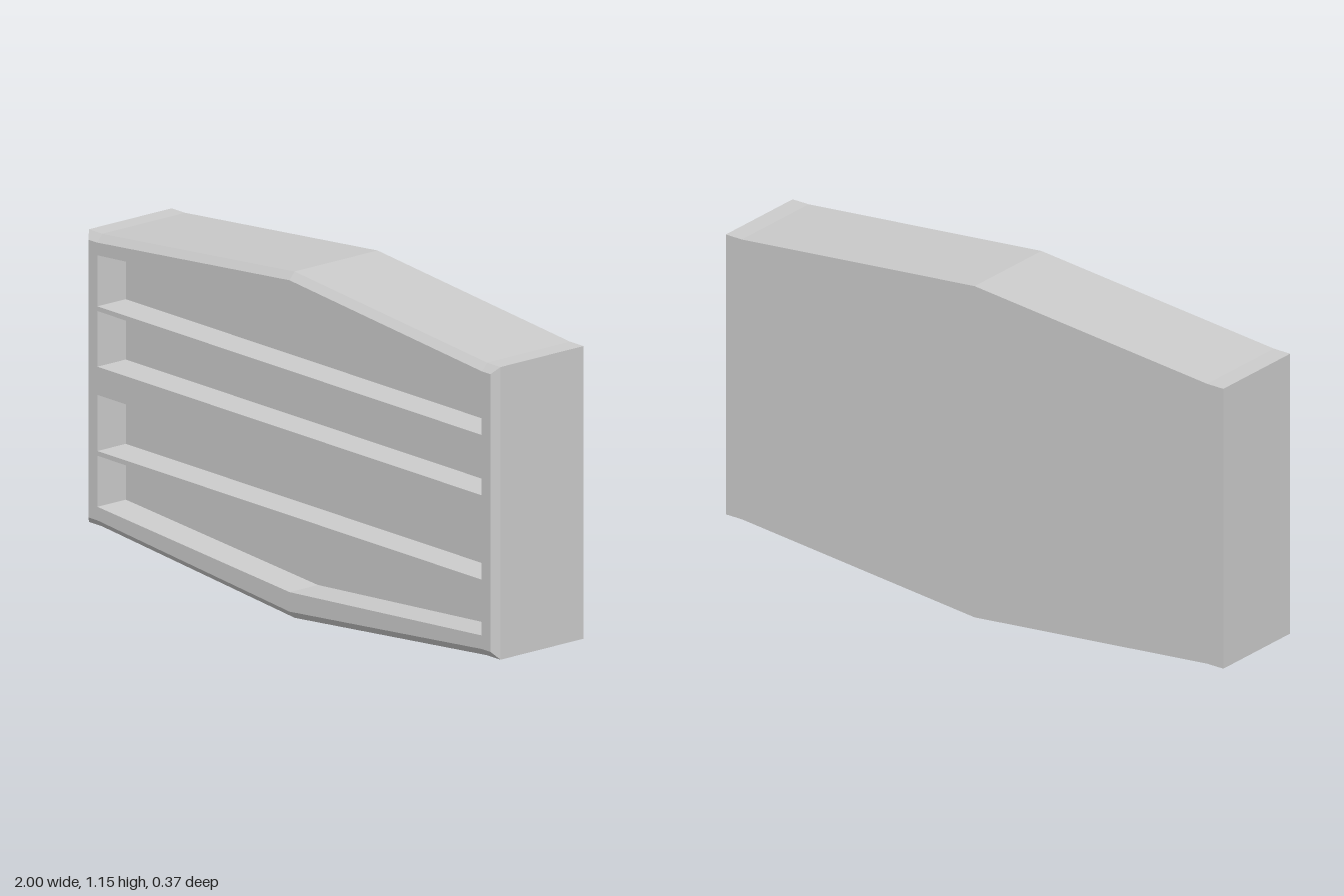
import * as THREE from 'three';

const BACK = -0.186, SHOULDER = 0.164, FRONT = 0.186, FLOOR = 0.066;
const MID = 0.577; // height of the horizontal mirror line

// Counter-clockwise outlines seen from the front
const outline = [
  [1, 0.09], [1, 1.065], [0.935, 1.065], [0, 1.154],
  [-0.935, 1.065], [-1, 1.065], [-1, 0.09], [-0.935, 0.09], [0, 0], [0.935, 0.09],
];
const inset = outline.map(([x, y]) => [
  Math.abs(x) === 1 ? x * 0.976 : x,
  y + (y > MID ? -0.025 : 0.025),
]);

// Four slots, the outer two following the peaked edges
const W = 0.933;
const box = (y0, y1) => [[W, y0], [W, y1], [-W, y1], [-W, y0]];
const slots = {
  topSlot: [[W, 0.828], [W, 0.998], [0, 1.07], [-W, 0.998], [-W, 0.828]],
  upperSlot: box(0.627, 0.812),
  lowerSlot: box(0.346, 0.533),
  bottomSlot: [[W, 0.16], [W, 0.33], [-W, 0.33], [-W, 0.16], [0, 0.09]],
};

const toVectors = (points) => points.map(([x, y]) => new THREE.Vector2(x, y));

// Flat-shaded band joining two loops at two depths
function band(a, za, b, zb) {
  const pos = [];
  a.forEach((p, i) => {
    const j = (i + 1) % a.length;
    const q = a[j], r = b[j], s = b[i];
    pos.push(...p, za, ...q, za, ...r, zb, ...p, za, ...r, zb, ...s, zb);
  });
  const g = new THREE.BufferGeometry();
  g.setAttribute('position', new THREE.Float32BufferAttribute(pos, 3));
  g.computeVertexNormals();
  return g;
}

// Flat panel at depth z, optionally facing backwards
function panel(points, z, holes = [], backwards = false) {
  const shape = new THREE.Shape(toVectors(points));
  holes.forEach((h) => shape.holes.push(new THREE.Path(toVectors(h))));
  const g = new THREE.ShapeGeometry(shape);
  if (backwards) g.rotateY(Math.PI);
  return g.translate(0, 0, z);
}

export function createModel() {
  const model = new THREE.Group();
  model.name = 'slottedPanel';
  const material = new THREE.MeshStandardMaterial({ color: 0xcccccc });
  const add = (parent, name, geometry) => {
    const mesh = new THREE.Mesh(geometry, material);
    mesh.name = name;
    parent.add(mesh);
  };

  // Casing
  add(model, 'sides', band(outline, BACK, outline, SHOULDER));
  add(model, 'frontChamfer', band(outline, SHOULDER, inset, FRONT));
  add(model, 'backPanel', panel(outline, BACK, [], true));
  add(model, 'frontPanel', panel(inset, FRONT, Object.values(slots)));

  // Recessed slots
  for (const [name, points] of Object.entries(slots)) {
    const slot = new THREE.Group();
    slot.name = name;
    add(slot, 'slotWalls', band(points, FRONT, points, FLOOR));
    add(slot, 'slotFloor', panel(points, FLOOR));
    model.add(slot);
  }
  return model;
}
